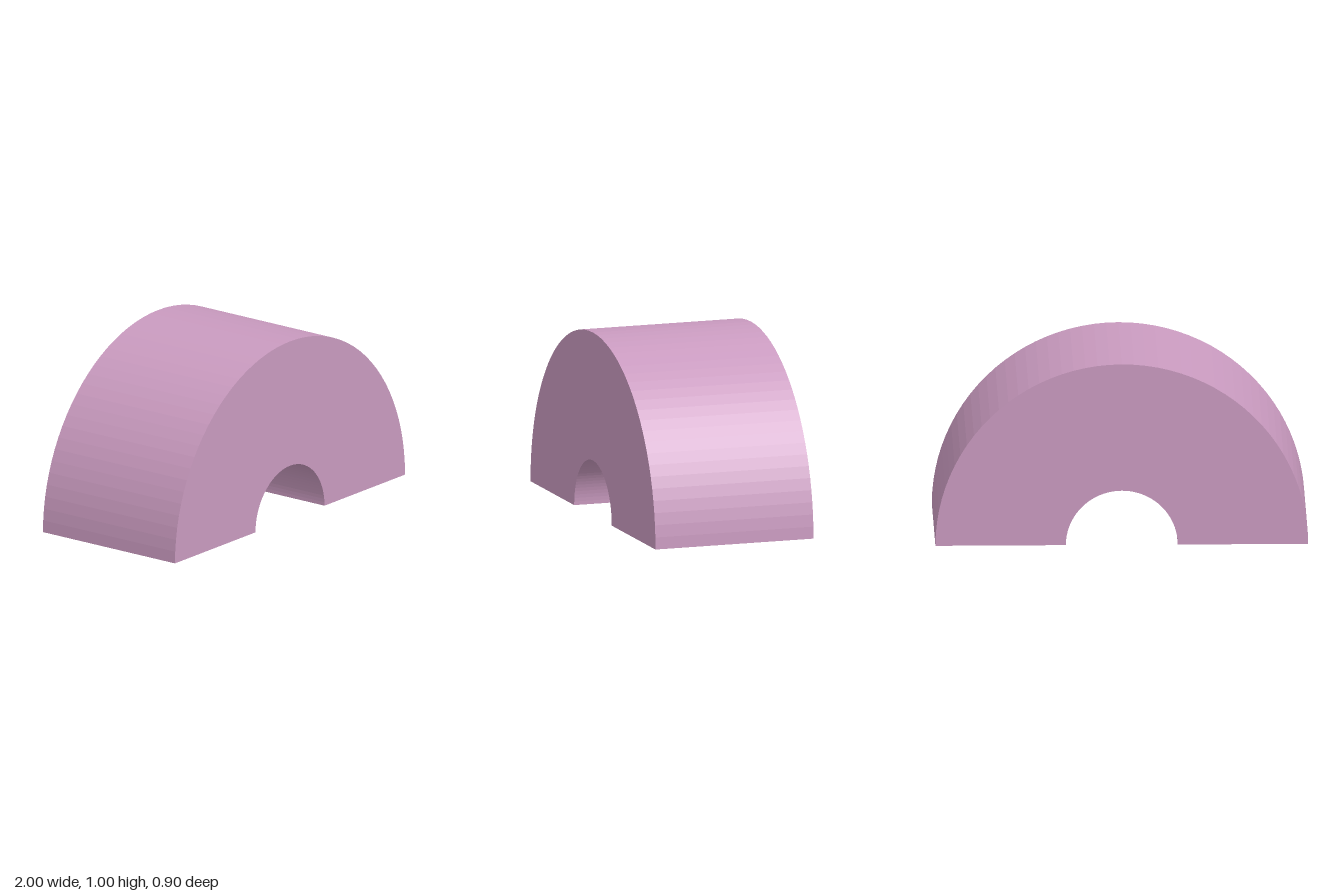
import * as THREE from 'three';

const SEGMENTS = 48;

// Closed cross-sections as [radius, z]; the outside runs counter-clockwise.
const outside = [[0.3, -0.45], [1, -0.45], [1, 0.45], [0.3, 0.45]];
const tunnel = [[0.4, -0.35], [0.9, -0.35], [0.9, 0.1], [0.65, 0.35], [0.4, 0.1]];

const toPoints = (section) => section.map(([r, z]) => new THREE.Vector2(r, z));

// Sweeps a cross-section over the upper half circle around the z axis.
function halfRing(section) {
  const points = toPoints([...section, section[0]]);
  return new THREE.LatheGeometry(points, SEGMENTS, Math.PI / 2, Math.PI).rotateX(Math.PI / 2);
}

export function createModel() {
  const group = new THREE.Group();
  group.name = 'hollowArch';
  const material = new THREE.MeshStandardMaterial({ color: 0xc99abf, flatShading: true });

  const add = (name, geometry) => {
    const mesh = new THREE.Mesh(geometry, material);
    mesh.name = name;
    group.add(mesh);
    return mesh;
  };

  // Outer skin, and the house-shaped tunnel facing inward
  add('archShell', halfRing(outside));
  add('innerTunnel', halfRing([...tunnel].reverse()));

  // Flat feet, open to the tunnel
  const foot = new THREE.Shape(toPoints(outside));
  foot.holes.push(new THREE.Path(toPoints(tunnel)));
  const footGeometry = new THREE.ShapeGeometry(foot).rotateX(Math.PI / 2);
  add('leftFoot', footGeometry);
  add('rightFoot', footGeometry).position.x = -1.3;

  return group;
}
